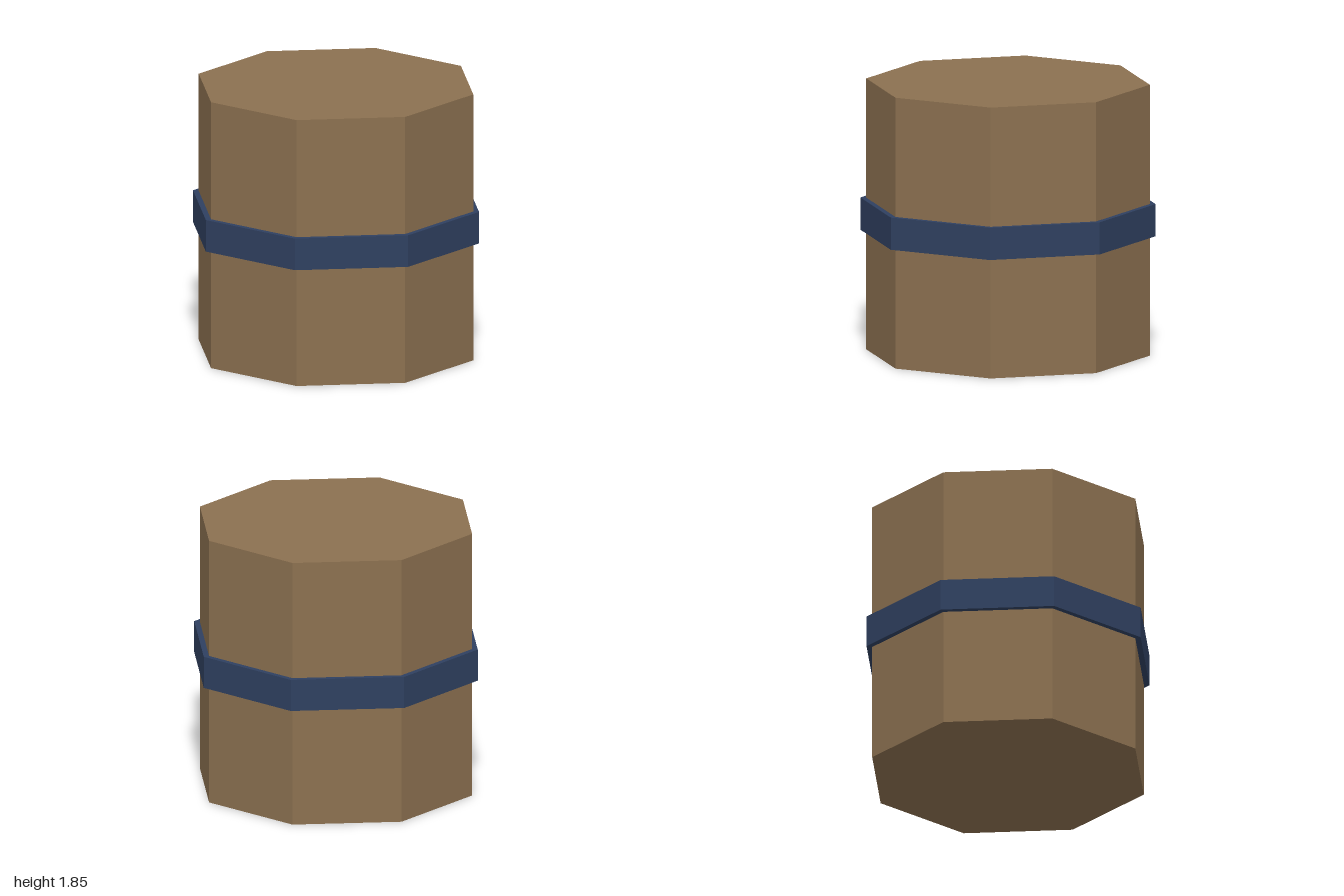
import * as THREE from 'three';

const wood = new THREE.MeshStandardMaterial({ color: 0x8b7050, flatShading: true });
wood.name = 'brown wood';
const strap = new THREE.MeshStandardMaterial({ color: 0x2f4060, flatShading: true });
strap.name = 'dark blue metal';

// Eight-sided prism with corners on the x and z axes
function octagonPrism(name, radius, bottom, top, material) {
  const geometry = new THREE.CylinderGeometry(radius, radius, top - bottom, 8);
  const mesh = new THREE.Mesh(geometry, material);
  mesh.name = name;
  mesh.position.y = (bottom + top) / 2;
  return mesh;
}

export function createModel() {
  const group = new THREE.Group();
  group.name = 'barrel';
  group.add(
    octagonPrism('body', 0.96, 0, 1.852, wood),
    octagonPrism('hoop', 1, 0.817, 1.037, strap), // raised band around the middle
  );
  return group;
}
